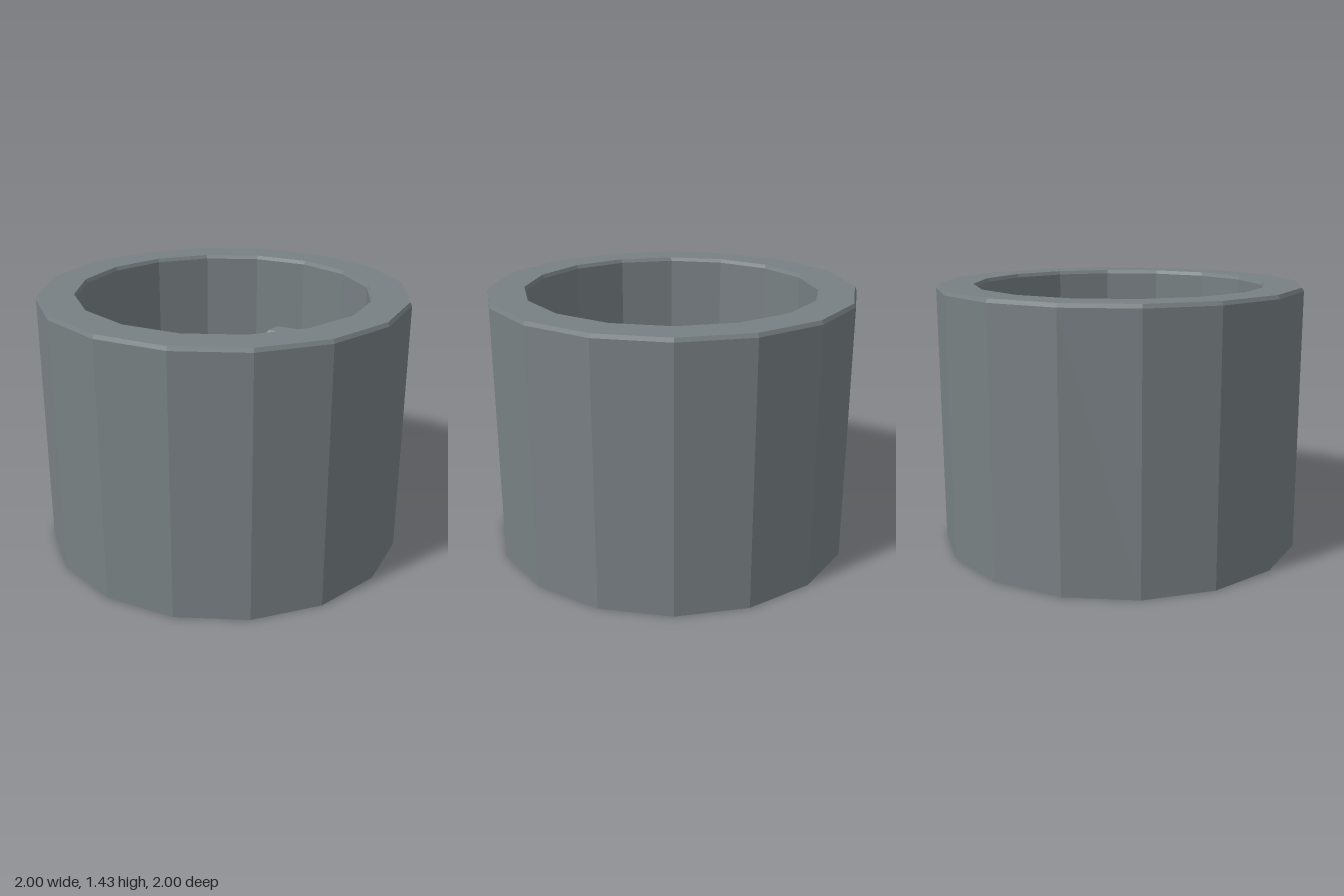
import * as THREE from 'three';

const SIDES = 16;
const HEIGHT = 1.43;
const FLOOR = 0.2;
const RIB_TOP = 1.0;

// Upright rib against the back wall, with its top edges chamfered
function ribGeometry() {
  const h = RIB_TOP - FLOOR, front = -0.65, back = -0.78;
  const g = new THREE.BoxGeometry(0.35, h, back - front < 0 ? front - back : 0.13, 1, 2, 1);
  g.translate(0, FLOOR + h / 2, (front + back) / 2);
  const p = g.attributes.position;
  for (let i = 0; i < p.count; i++) {
    const y = p.getY(i);
    if (y > RIB_TOP - 0.001) {
      p.setX(i, p.getX(i) - Math.sign(p.getX(i)) * 0.015);
      if (p.getZ(i) > front - 0.001) p.setZ(i, front - 0.015);
    } else if (y > FLOOR + 0.001) {
      p.setY(i, RIB_TOP - 0.02);
    }
  }
  g.computeVertexNormals();
  return g;
}

export function createModel() {
  const group = new THREE.Group();
  const grey = new THREE.MeshStandardMaterial({ color: 0x788083, flatShading: true });
  grey.name = 'slate grey';

  const add = (name, geometry) => {
    const mesh = new THREE.Mesh(geometry, grey);
    mesh.name = name;
    group.add(mesh);
    return mesh;
  };

  // Thick-walled cup: underside, outer wall, chamfered rim, inner wall, floor
  const profile = [
    [0, 0], [1, 0], [1, HEIGHT - 0.02], [0.99, HEIGHT],
    [0.8, HEIGHT], [0.79, HEIGHT - 0.02], [0.79, FLOOR], [0, FLOOR],
  ].map(([r, y]) => new THREE.Vector2(r, y));
  add('cup', new THREE.LatheGeometry(profile, SIDES));

  // Three ribs evenly spaced inside the wall
  const rib = ribGeometry();
  for (let i = 0; i < 3; i++) {
    add('rib' + (i + 1), rib).rotation.y = (i * Math.PI * 2) / 3;
  }

  // Small stud in the middle of the floor
  const stud = new THREE.CylinderGeometry(0.05, 0.05, 0.05, 10);
  stud.translate(0, FLOOR + 0.025, 0);
  add('centreStud', stud);

  return group;
}
